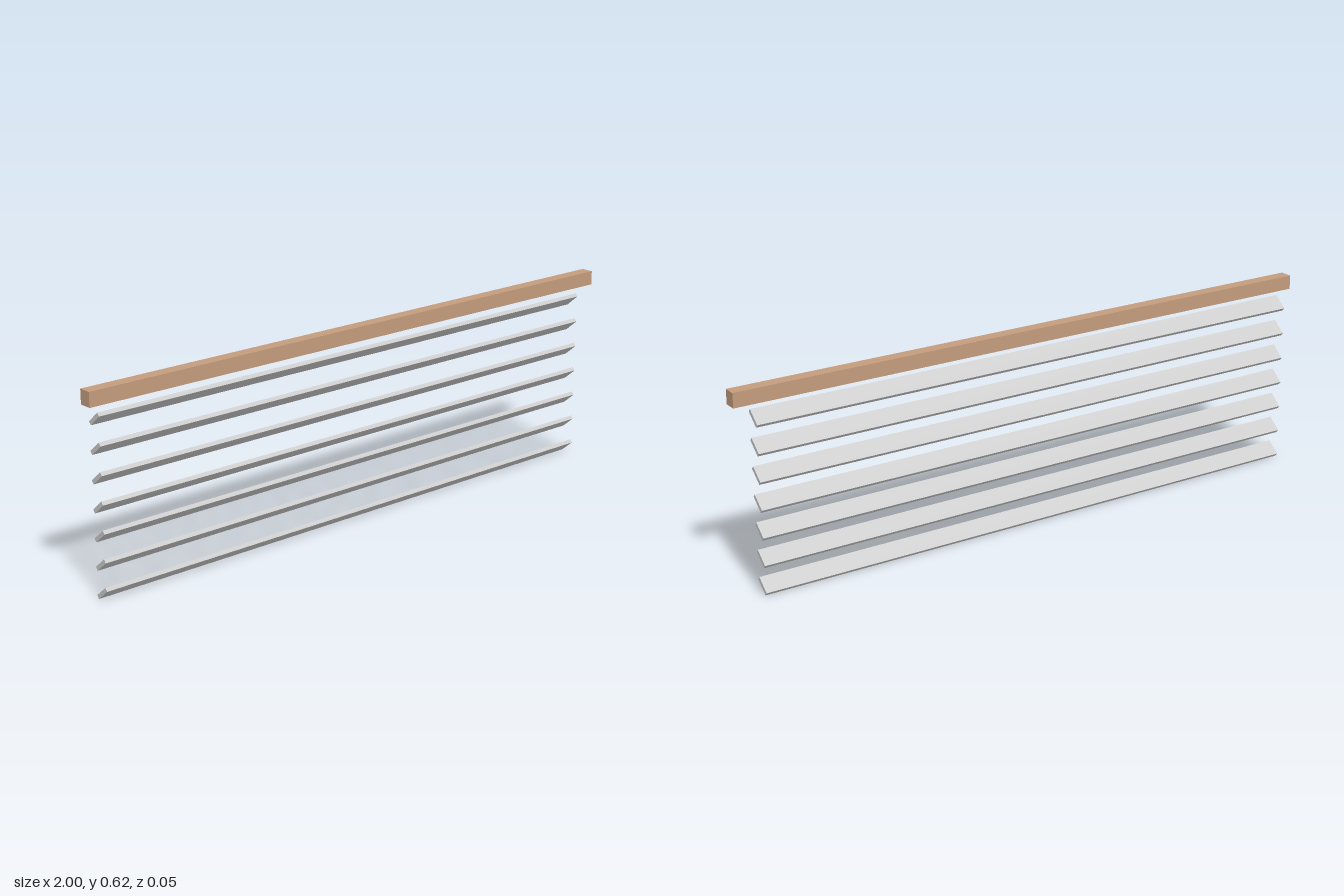
import * as THREE from 'three';

export function createModel() {
  const group = new THREE.Group();
  group.name = 'slattedBlind';
  const wood = new THREE.MeshStandardMaterial({ color: 0xc39c7c });
  const grey = new THREE.MeshStandardMaterial({ color: 0xcccccc });

  // Head rail across the top
  const rail = new THREE.Mesh(new THREE.BoxGeometry(2, 0.045, 0.041), wood);
  rail.name = 'headRail';
  rail.position.set(0, 0.6025, 0.007);
  group.add(rail);

  // Seven tilted slats, front edge raised
  const slatGeometry = new THREE.BoxGeometry(1.906, 0.0125, 0.0545);
  for (let i = 0; i < 7; i++) {
    const slat = new THREE.Mesh(slatGeometry, grey);
    slat.name = `slat${i + 1}`;
    slat.position.set(-0.015, 0.0224 + i * 0.0854, -0.0025);
    slat.rotation.x = -THREE.MathUtils.degToRad(40);
    group.add(slat);
  }
  return group;
}
